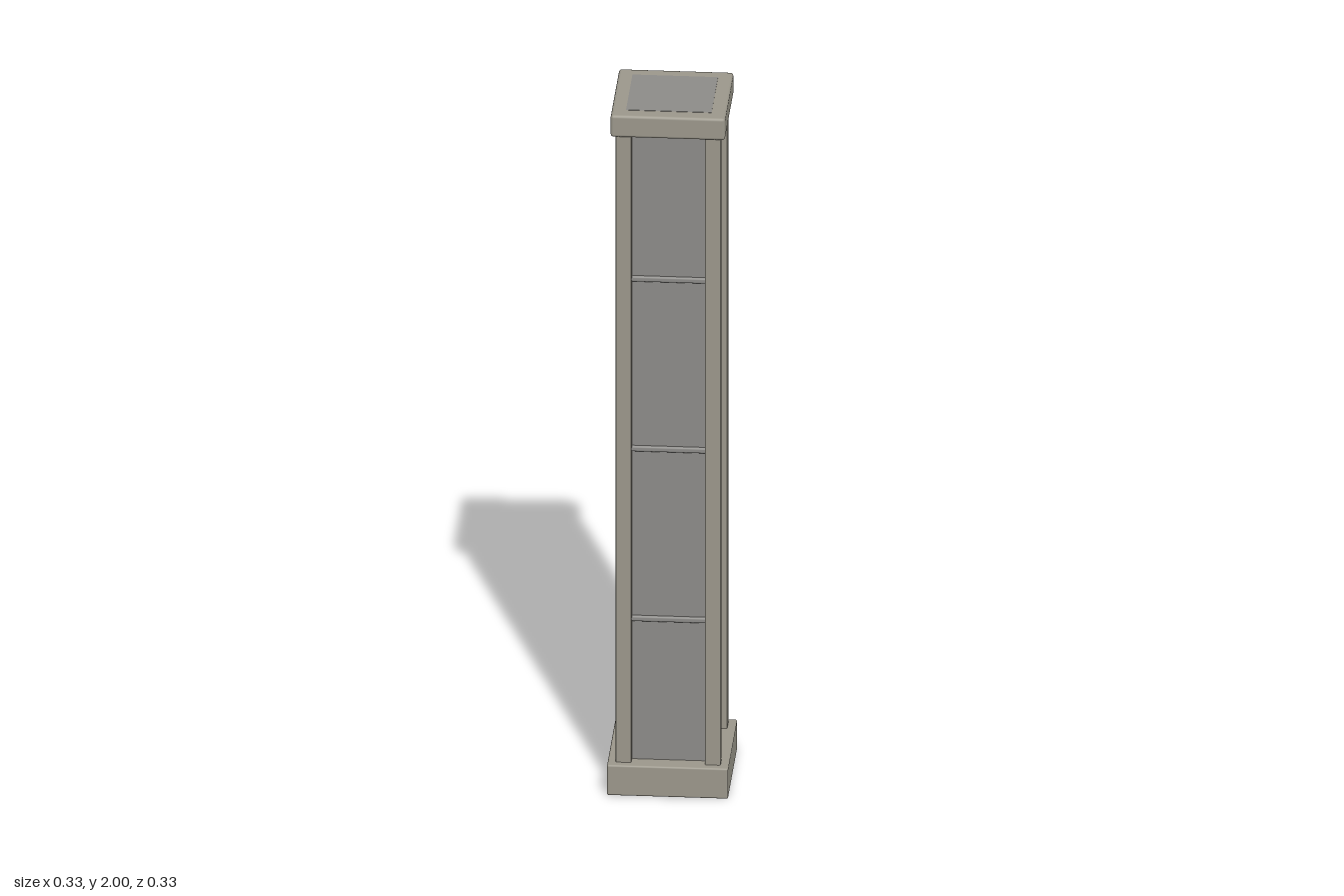
import * as THREE from 'three';
import { RoundedBoxGeometry } from 'three/addons/geometries/RoundedBoxGeometry.js';

export function createModel() {
  const group = new THREE.Group();
  const trim = new THREE.MeshStandardMaterial({ color: 0x9b978b });
  const panel = new THREE.MeshStandardMaterial({ color: 0x8c8b88 });

  // Bevelled block centred at (x, z), spanning y0 to y1
  function block(name, w, d, y0, y1, bevel, material, x = 0, z = 0) {
    const h = y1 - y0;
    const geometry = bevel
      ? new RoundedBoxGeometry(w, h, d, 2, bevel)
      : new THREE.BoxGeometry(w, h, d);
    const mesh = new THREE.Mesh(geometry, material);
    mesh.name = name;
    mesh.position.set(x, (y0 + y1) / 2, z);
    group.add(mesh);
  }

  // Plinth, cap and the full-height core between them
  block('base', 0.326, 0.326, 0.001, 0.09, 0.005, trim);
  block('cap', 0.308, 0.308, 1.935, 1.999, 0.008, trim);
  block('core', 0.23, 0.23, 0, 2, 0, panel);

  // Corner posts
  for (const sx of [-1, 1]) {
    for (const sz of [-1, 1]) {
      block('cornerPost', 0.042, 0.042, 0.06, 1.96, 0.004, trim, sx * 0.12, sz * 0.12);
    }
  }

  // Thin bands dividing the panels
  for (const y of [0.505, 1.005, 1.505]) {
    block('panelBand', 0.245, 0.245, y - 0.008, y + 0.008, 0.005, panel);
  }

  return group;
}
